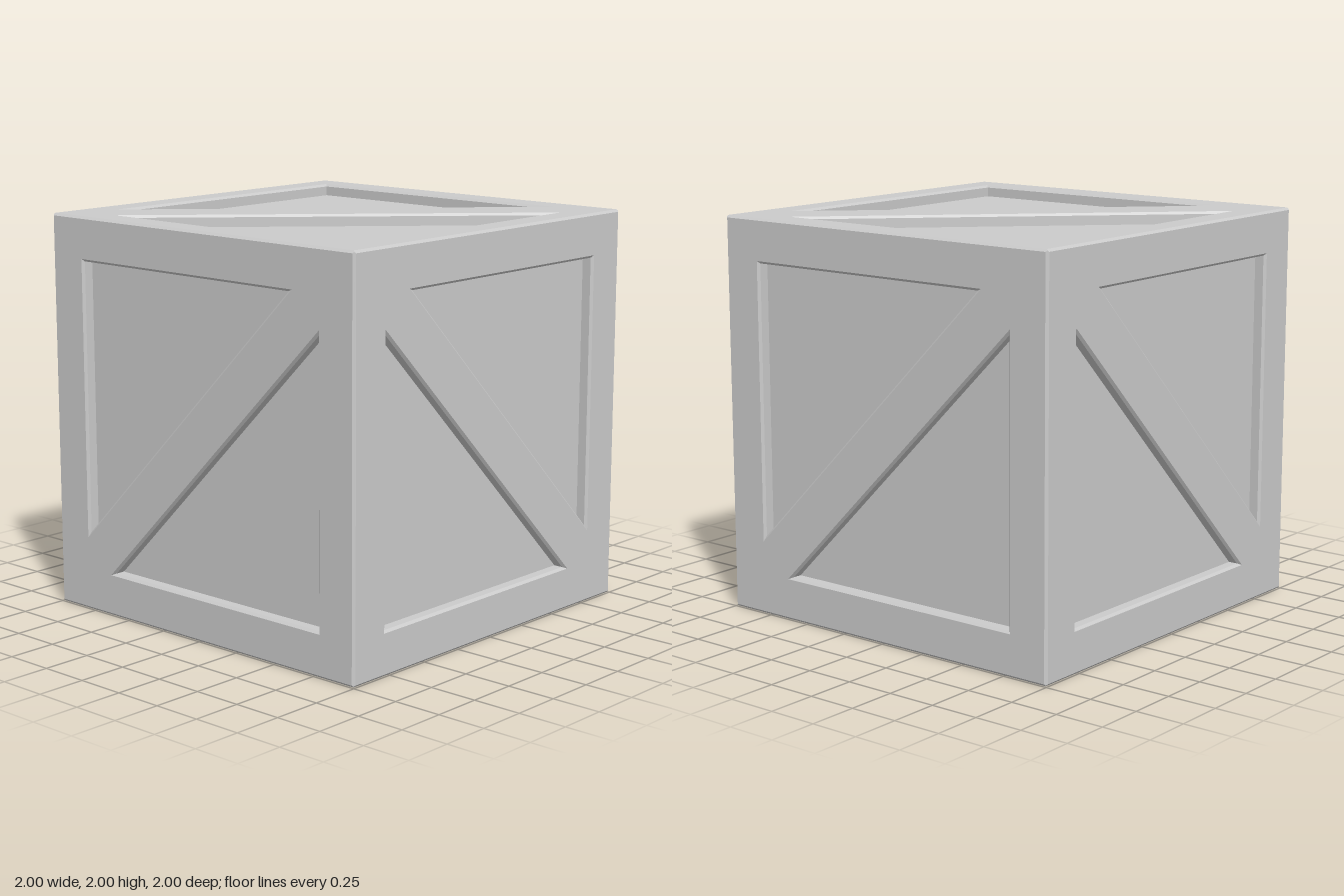
import * as THREE from 'three';
import { mergeGeometries } from 'three/addons/utils/BufferGeometryUtils.js';

const CHAMFER = 0.012; // outer edges of the crate
const RIM = 0.012;     // bevel around each recess
const DEPTH = 0.06;    // depth of the recessed panels

const material = new THREE.MeshStandardMaterial({ color: 0xcccccc, flatShading: true });

// Flat band between two counter-clockwise loops of points, outer to inner
function band(outer, inner) {
  const pos = [];
  outer.forEach((a, i) => {
    const j = (i + 1) % outer.length;
    for (const p of [a, outer[j], inner[j], a, inner[j], inner[i]]) pos.push(p.x, p.y, p.z);
  });
  const g = new THREE.BufferGeometry();
  g.setAttribute('position', new THREE.Float32BufferAttribute(pos, 3));
  g.computeVertexNormals();
  return g;
}

// Flat filled outline, with optional holes, at height z
function plate(points, holes, z) {
  const shape = new THREE.Shape(points.map(p => new THREE.Vector2(p.x, p.y)));
  shape.holes = holes.map(h => new THREE.Path(h.map(p => new THREE.Vector2(p.x, p.y))));
  const g = new THREE.ShapeGeometry(shape).toNonIndexed().translate(0, 0, z);
  g.deleteAttribute('uv');
  return g;
}

const square = (h, z) =>
  [[-h, -h], [h, -h], [h, h], [-h, h]].map(([x, y]) => new THREE.Vector3(x, y, z));

// Right triangle beside the diagonal bar; side = 1 or -1, shrunk evenly by inset
function triangle(m, s, side, inset, z) {
  const r = (m + s) * (1 - Math.SQRT1_2); // radius of the inscribed circle
  const cx = -m + r, cy = m - r, k = 1 - inset / r;
  return [[-m, m], [-m, -s], [s, m]].map(([x, y]) =>
    new THREE.Vector3(side * (cx + (x - cx) * k), side * (cy + (y - cy) * k), z));
}

// One side of the crate: frame with diagonal bar and two recessed panels, facing +z
function makeSide(name, m, s, mirrored) {
  const side = new THREE.Group();
  side.name = name;
  const add = (part, geometry) => {
    if (mirrored) geometry.rotateZ(Math.PI / 2); // turns the diagonal the other way
    const mesh = new THREE.Mesh(geometry, material);
    mesh.name = part;
    side.add(mesh);
  };

  const face = square(1 - CHAMFER, 1);
  const edge = square(1 - CHAMFER / 2, 1 - CHAMFER / 2);
  const holes = [1, -1].map(d => triangle(m, s, d, 0, 1));
  add('frame', mergeGeometries([plate(face, holes, 1), band(edge, face)]));

  [1, -1].forEach((d, i) => {
    const rim = triangle(m, s, d, RIM, 1 - RIM);
    const floor = triangle(m, s, d, RIM, 1 - DEPTH);
    add('recessWalls', mergeGeometries([band(holes[i], rim), band(rim, floor)]));
    add('recessedPanel', plate(floor, [], 1 - DEPTH));
  });
  return side;
}

export function createModel() {
  const crate = new THREE.Group();
  crate.name = 'crate';
  const Q = Math.PI / 2;
  // name, panel margin, tip position, mirrored diagonal, rotation
  const sides = [
    ['frontSide', 0.79, 0.625, false, 0, 0],
    ['backSide', 0.79, 0.625, false, 0, 2 * Q],
    ['leftSide', 0.79, 0.625, true, 0, Q],
    ['rightSide', 0.79, 0.625, true, 0, -Q],
    ['lid', 0.86, 0.695, false, -Q, 0],
    ['base', 0.79, 0.625, true, Q, 0],
  ];
  for (const [name, m, s, mirrored, rx, ry] of sides) {
    const side = makeSide(name, m, s, mirrored);
    side.rotation.set(rx, ry, 0);
    side.position.y = 1;
    crate.add(side);
  }
  return crate;
}
